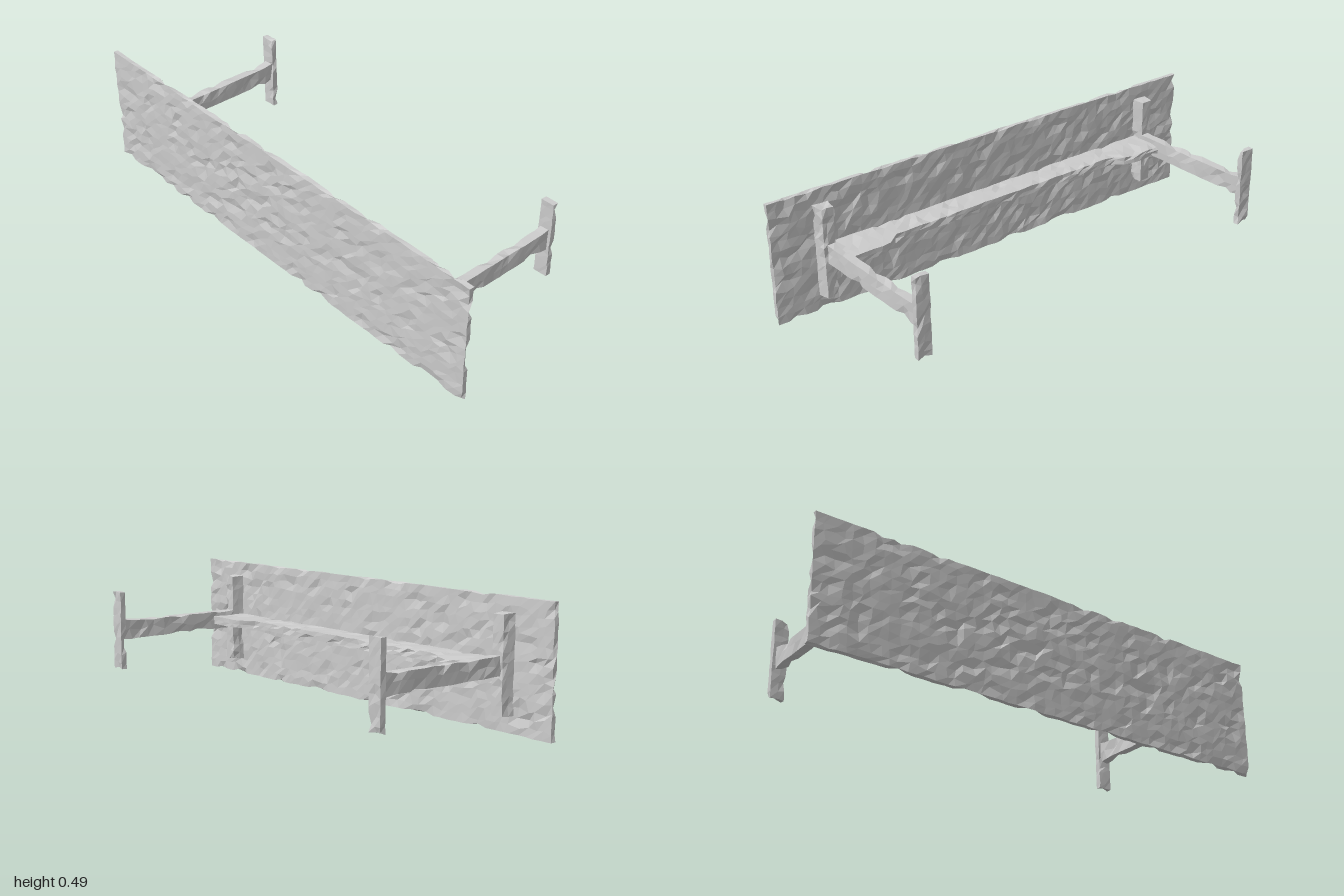
import * as THREE from 'three';

const material = new THREE.MeshStandardMaterial({ color: 0xcccccc, flatShading: true });

// Repeatable value in 0..1 for a point, so coincident vertices move together
function hash(x, y, z, seed) {
  const s = Math.sin(Math.round(x * 1000) * 12.9898 + Math.round(y * 1000) * 78.233
    + Math.round(z * 1000) * 37.719 + seed * 4.137) * 43758.5453;
  return s - Math.floor(s);
}

// Rough-hewn beam: uneven facets, worn edges and scattered chips.
// lo and hi are opposite corners, seg the divisions per axis.
function hewn(name, lo, hi, seg, { wear = 0.003, chip = 0.006, chance = 0.12, seed = 1, rule } = {}) {
  const size = lo.map((v, i) => hi[i] - v);
  const geo = new THREE.BoxGeometry(...size, ...seg);
  geo.translate(...lo.map((v, i) => (v + hi[i]) / 2));
  const pos = geo.attributes.position;
  for (let i = 0; i < pos.count; i++) {
    const p = [pos.getX(i), pos.getY(i), pos.getZ(i)];
    const q = p.slice();
    const chipped = hash(...p, seed + 9) < chance;
    for (let a = 0; a < 3; a++) {
      const r = hash(...p, seed + a);
      const atLow = p[a] - lo[a] < 1e-4, atHigh = hi[a] - p[a] < 1e-4;
      if (atLow || atHigh) {
        const depth = r * wear + (chipped ? chip : 0);
        q[a] += atLow ? depth : -depth;
      } else {
        q[a] += (r - 0.5) * 0.6 * size[a] / seg[a];
      }
    }
    if (rule) rule(q);
    pos.setXYZ(i, ...q);
  }
  geo.computeVertexNormals();
  const mesh = new THREE.Mesh(geo, material);
  mesh.name = name;
  return mesh;
}

export function createModel() {
  const group = new THREE.Group();
  group.name = 'roughWoodenTable';

  // Table top, standing on its long edge
  group.add(hewn('tableTop', [-1, 0, 0.304], [1, 0.494, 0.326], [52, 15, 1],
    { wear: 0.004, chip: 0.007, chance: 0.14, seed: 3 }));

  // Stretcher board under the top, deeper at both ends
  group.add(hewn('stretcher', [-0.775, 0.232, 0.2], [0.775, 0.268, 0.31], [40, 2, 3], {
    seed: 5,
    rule: (q) => {
      const flare = THREE.MathUtils.smoothstep(Math.abs(q[0]), 0.53, 0.61);
      q[2] -= 0.048 * flare * (0.31 - q[2]) / 0.11;
    },
  }));

  // One trestle at each end
  for (const side of [-1, 1]) {
    const trestle = new THREE.Group();
    trestle.name = side > 0 ? 'leftTrestle' : 'rightTrestle';
    const beam = (name, x0, x1, y0, y1, z0, z1, seg, seed, rule) => trestle.add(hewn(name,
      [Math.min(side * x0, side * x1), y0, z0], [Math.max(side * x0, side * x1), y1, z1],
      seg, { seed: seed + side, rule }));

    // Cleat against the top, narrowing away from it
    beam('cleat', 0.755, 0.822, 0.064, 0.437, 0.254, 0.31, [2, 11, 2], 11, (q) => {
      const t = (0.31 - q[2]) / 0.056;
      q[0] = side * 0.788 + (q[0] - side * 0.788) * (1 - 0.25 * t);
      q[1] = 0.25 + (q[1] - 0.25) * (1 - 0.015 * t);
    });
    // Leg, swelling slightly where it meets the foot
    beam('leg', 0.763, 0.802, 0.211, 0.287, -0.31, 0.265, [1, 2, 14], 21, (q) => {
      const t = THREE.MathUtils.smoothstep(-q[2], 0.24, 0.31);
      q[1] = 0.25 + (q[1] - 0.25) * (1 + 0.22 * t);
    });
    beam('foot', 0.754, 0.814, 0.086, 0.41, -0.327, -0.301, [2, 10, 1], 31);
    group.add(trestle);
  }
  return group;
}
